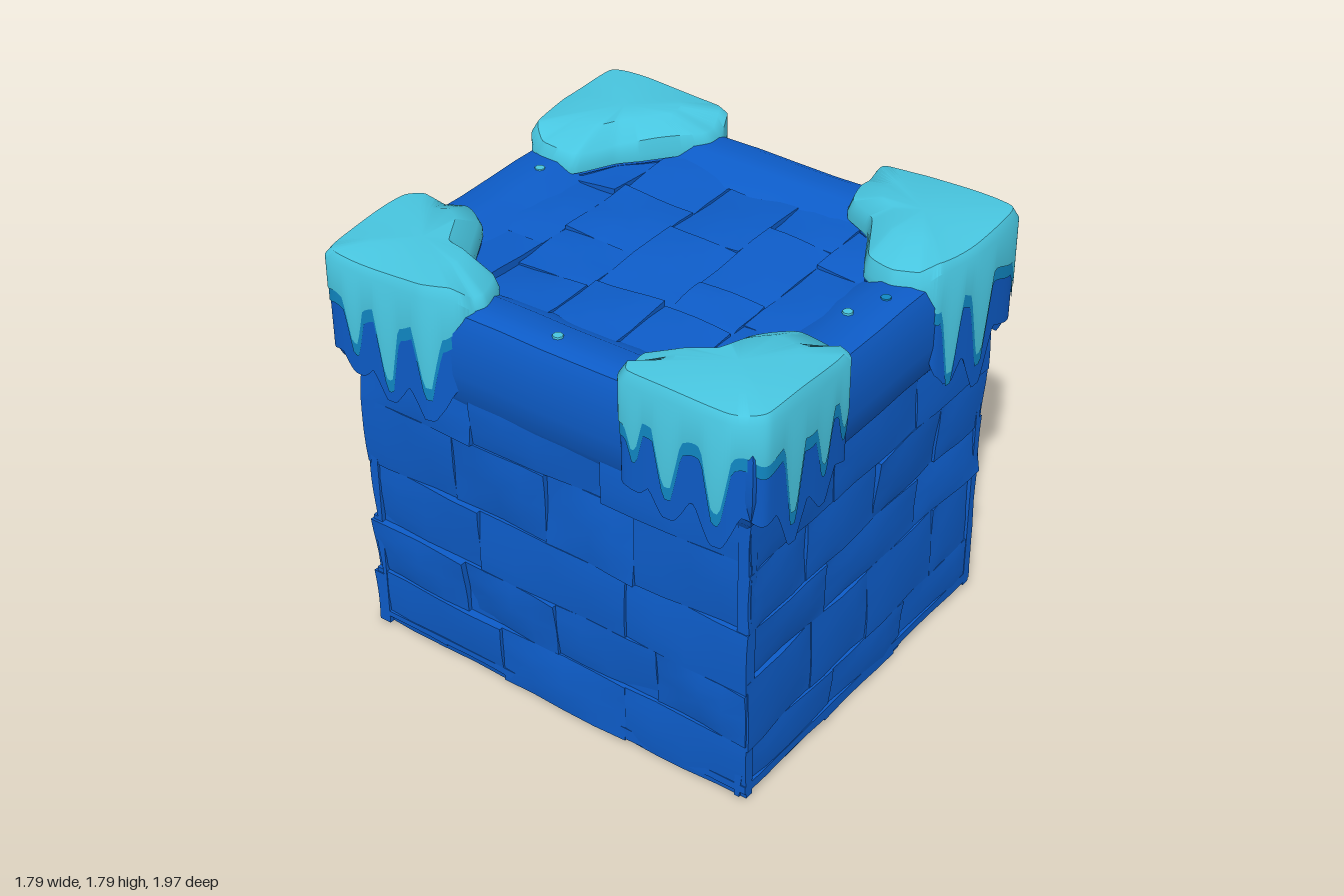
import * as THREE from 'three';
import { mergeGeometries, toCreasedNormals } from 'three/addons/utils/BufferGeometryUtils.js';

const mat = (name, color) => new THREE.MeshStandardMaterial({ name, color, side: THREE.DoubleSide });
const stone = mat('deep blue stone', 0x0d5cc8);
const fringe = mat('mid blue fringe', 0x1088c4);
const frost = mat('pale cyan frost', 0x48c6e0);

let seed = 7;
const rand = () => (seed = (seed * 16807) % 2147483647) / 2147483647;
const jitter = (a) => (rand() * 2 - 1) * a;
const clamp = THREE.MathUtils.clamp;
const lerp = THREE.MathUtils.lerp;

function mesh(name, geometry, material) {
  const m = new THREE.Mesh(geometry, material);
  m.name = name;
  return m;
}

// Surface through a stack of closed rings, from bottom to top
function loft(rings, crease = 0.7) {
  const n = rings[0].length, index = [];
  for (let r = 0; r < rings.length - 1; r++) {
    for (let k = 0; k < n; k++) {
      const a = r * n + k, b = r * n + (k + 1) % n;
      index.push(a, a + n, b, b, a + n, b + n);
    }
  }
  const g = new THREE.BufferGeometry().setFromPoints(rings.flat());
  g.setIndex(index);
  return toCreasedNormals(g, crease);
}

// One worn stone: a slab with an uneven, softly dropped outer face
function slab(u, v, w, h, depth) {
  const g = new THREE.BoxGeometry(w, h, 0.1, 4, 4, 1);
  const p = g.attributes.position;
  const lift = jitter(0.007), tu = jitter(0.012), tv = jitter(0.012), ph = rand() * 6;
  for (let i = 0; i < p.count; i++) {
    if (p.getZ(i) < 0) continue;
    const a = p.getX(i) / w * 2, b = p.getY(i) / h * 2;
    const edge = Math.max(Math.abs(a), Math.abs(b)) > 0.9 ? 0.008 : 0;
    p.setZ(i, lift + tu * a + tv * b - edge + 0.005 * Math.sin(3 * a + 2 * b + ph));
  }
  g.translate(u, v, depth);
  return toCreasedNormals(g, 0.6);
}

// Rows of stones covering one face of the block
function wall(name, width, height, rows, depth) {
  const parts = [];
  const rowEdges = Array.from({ length: rows + 1 }, (_, i) =>
    (i / rows - 0.5) * height + (i % rows ? jitter(0.03) : 0));
  for (let r = 0; r < rows; r++) {
    const cols = 3 + (r % 2);
    const edges = Array.from({ length: cols + 1 }, (_, i) =>
      (i / cols - 0.5) * width + (i % cols ? jitter(0.08) : 0));
    for (let c = 0; c < cols; c++) {
      parts.push(slab((edges[c] + edges[c + 1]) / 2, (rowEdges[r] + rowEdges[r + 1]) / 2,
        edges[c + 1] - edges[c], rowEdges[r + 1] - rowEdges[r], depth));
    }
  }
  return mesh(name, mergeGeometries(parts), stone);
}

// Rectangular ring for the rim, slightly wavy
function rectRing(x, z, y, wave) {
  const pts = [], n = 10;
  const corners = [[x, -z], [x, z], [-x, z], [-x, -z]];
  corners.forEach(([ax, az], s) => {
    const [bx, bz] = corners[(s + 1) % 4];
    for (let i = 0; i < n; i++) {
      const t = i / n, f = 1 - wave * Math.sin(t * Math.PI);
      pts.push(new THREE.Vector3(lerp(ax, bx, t) * (s % 2 ? 1 : f),
        y + 0.3 * wave * Math.sin(i * 1.9 + s), lerp(az, bz, t) * (s % 2 ? f : 1) - 0.01));
    }
  });
  return pts;
}

// Corner frost: outline [x, z] and icicles [side, position, half width, frost end, tip]
function corner(name, outline, drips) {
  const g = new THREE.Group();
  g.name = name;
  const area = outline.reduce((s, [x, z], i) => {
    const [x2, z2] = outline[(i + 1) % outline.length];
    return s + x * z2 - x2 * z;
  }, 0);
  const ordered = area < 0 ? [...outline].reverse() : outline;
  const curve = new THREE.CatmullRomCurve3(
    ordered.map(([x, z]) => new THREE.Vector3(x, 0, z)), true, 'catmullrom', 0.25);
  const pts = curve.getSpacedPoints(170).slice(0, -1);
  const mid = pts.reduce((s, p) => s.add(p), new THREE.Vector3()).divideScalar(pts.length);
  const outer = (p) => clamp(Math.max(Math.abs(p.x) - 0.78, Math.abs(p.z) - 0.87) / 0.06, 0, 1);
  const ring = (scale, yOf) => pts.map((p) =>
    new THREE.Vector3(lerp(mid.x, p.x, scale), yOf(p), lerp(mid.z, p.z, scale)));
  // Lower edge: a base line pulled down wherever an icicle hangs
  const hem = (inner, base, col, extra) => (p) => {
    const w = outer(p), side = Math.abs(p.z) - 0.93 > Math.abs(p.x) - 0.85 ? 'z' : 'x';
    let y = base + 0.02 * Math.sin(p.x * 23 + p.z * 31);
    const start = y;
    for (const d of drips) {
      if (d[0] !== side) continue;
      const t = Math.abs((side === 'z' ? p.x : p.z) - d[1]) / (d[2] + extra);
      y = Math.min(y, lerp(start, d[col], clamp((1 - t) * 1.35, 0, 1)));
    }
    return lerp(inner, y, w);
  };
  const shoulder = (p) => lerp(1.68, 1.74, outer(p));
  const crown = (p) => lerp(1.73, 1.775, outer(p)) + 0.008 * Math.sin(p.x * 9 + p.z * 7);
  const frostHem = hem(1.65, 1.59, 3, 0);
  g.add(mesh('frostCap', loft([
    ring(1, frostHem), ring(1, shoulder), ring(0.93, crown),
    ring(0.55, () => 1.79), ring(0, () => 1.793)]), frost));
  g.add(mesh('frostFringe', loft([
    ring(0.992, (p) => frostHem(p) - 0.055 * outer(p)), ring(0.992, () => 1.66)]), fringe));
  g.add(mesh('stoneIcicles', loft([
    ring(0.78, () => 1.36), ring(0.978, hem(1.5, 1.33, 4, 0.03)), ring(0.982, () => 1.64)]), stone));
  return g;
}

export function createModel() {
  const model = new THREE.Group();
  model.name = 'frostedStoneBlock';

  // Solid core and stone faces
  const core = mesh('core', new THREE.BoxGeometry(1.57, 1.55, 1.73), stone);
  core.position.y = 0.81;
  model.add(core);
  const faces = [
    ['frontWall', 1.61, 1.34, 5, 0.895, 0, 0, 0.68],
    ['backWall', 1.61, 1.34, 5, 0.895, 0, Math.PI, 0.68],
    ['leftWall', 1.79, 1.34, 5, 0.81, 0, Math.PI / 2, 0.68],
    ['rightWall', 1.79, 1.34, 5, 0.81, 0, -Math.PI / 2, 0.68],
    ['topPaving', 1.4, 1.56, 5, 1.635, -Math.PI / 2, 0, 0],
    ['underside', 1.61, 1.79, 5, -0.02, Math.PI / 2, 0, 0],
  ];
  for (const [name, w, h, rows, depth, rx, ry, y] of faces) {
    const m = wall(name, w, h, rows, depth);
    m.rotation.set(rx, ry, 0);
    m.position.y = y;
    model.add(m);
  }

  // Thick overhanging rim
  model.add(mesh('rim', loft([
    rectRing(0.79, 0.87, 1.25, 0), rectRing(0.835, 0.925, 1.31, 0.012),
    rectRing(0.85, 0.94, 1.42, 0.012), rectRing(0.85, 0.94, 1.6, 0.01),
    rectRing(0.82, 0.91, 1.67, 0.01), rectRing(0.78, 0.86, 1.685, 0.006),
    rectRing(0.66, 0.75, 1.685, 0.006), rectRing(0.56, 0.64, 1.62, 0.02)]), stone));

  // Frosted corners with icicles
  model.add(corner('frontRightCorner',
    [[-0.89, 0.4], [-0.7, 0.34], [-0.57, 0.51], [-0.38, 0.59], [-0.24, 0.72], [-0.25, 0.88],
      [-0.32, 0.97], [-0.52, 0.98], [-0.8, 0.96], [-0.88, 0.84]],
    [['z', -0.66, 0.06, 1.3, 1.16], ['z', -0.48, 0.055, 1.4, 1.22], ['z', -0.35, 0.045, 1.48, 1.37],
      ['x', 0.8, 0.06, 1.35, 1.2], ['x', 0.6, 0.06, 1.38, 1.24], ['x', 0.46, 0.04, 1.48, 1.3]]));
  model.add(corner('frontLeftCorner',
    [[0.86, 0.35], [0.73, 0.32], [0.6, 0.36], [0.52, 0.5], [0.28, 0.64], [0.24, 0.78],
      [0.33, 0.93], [0.56, 0.97], [0.86, 0.95], [0.89, 0.55]],
    [['z', 0.41, 0.06, 1.28, 1.23], ['z', 0.59, 0.075, 1.28, 1.13], ['z', 0.85, 0.04, 1.45, 1.3],
      ['x', 0.88, 0.04, 1.4, 1.2], ['x', 0.7, 0.065, 1.32, 1.24], ['x', 0.5, 0.065, 1.3, 1.2]]));
  model.add(corner('backRightCorner',
    [[-0.87, -0.96], [-0.41, -0.98], [-0.25, -0.8], [-0.31, -0.68], [-0.55, -0.53],
      [-0.59, -0.37], [-0.73, -0.31], [-0.82, -0.35], [-0.89, -0.5]],
    [['z', -0.78, 0.05, 1.38, 1.25], ['z', -0.6, 0.06, 1.32, 1.2], ['z', -0.44, 0.05, 1.42, 1.3],
      ['x', -0.82, 0.05, 1.42, 1.28], ['x', -0.66, 0.06, 1.32, 1.22], ['x', -0.48, 0.06, 1.35, 1.2]]));
  model.add(corner('backLeftCorner',
    [[0.3, -0.93], [0.55, -0.98], [0.85, -0.96], [0.89, -0.78], [0.88, -0.4], [0.72, -0.36],
      [0.5, -0.52], [0.41, -0.6], [0.25, -0.69], [0.24, -0.85]],
    [['z', 0.76, 0.06, 1.34, 1.2], ['z', 0.57, 0.06, 1.36, 1.22], ['z', 0.4, 0.05, 1.42, 1.32],
      ['x', -0.47, 0.065, 1.26, 1.2], ['x', -0.64, 0.055, 1.35, 1.23], ['x', -0.8, 0.05, 1.38, 1.25],
      ['x', -0.93, 0.04, 1.4, 1.17]]));

  // Small frost specks on the rim
  for (const [x, z, m] of [[-0.73, 0.01, frost], [0, 0.75, frost], [0.16, 0.81, fringe], [0.16, -0.78, frost]]) {
    const speck = mesh('frostSpeck', new THREE.CylinderGeometry(0.02, 0.022, 0.008, 7), m);
    speck.position.set(x, 1.687, z);
    model.add(speck);
  }
  return model;
}
